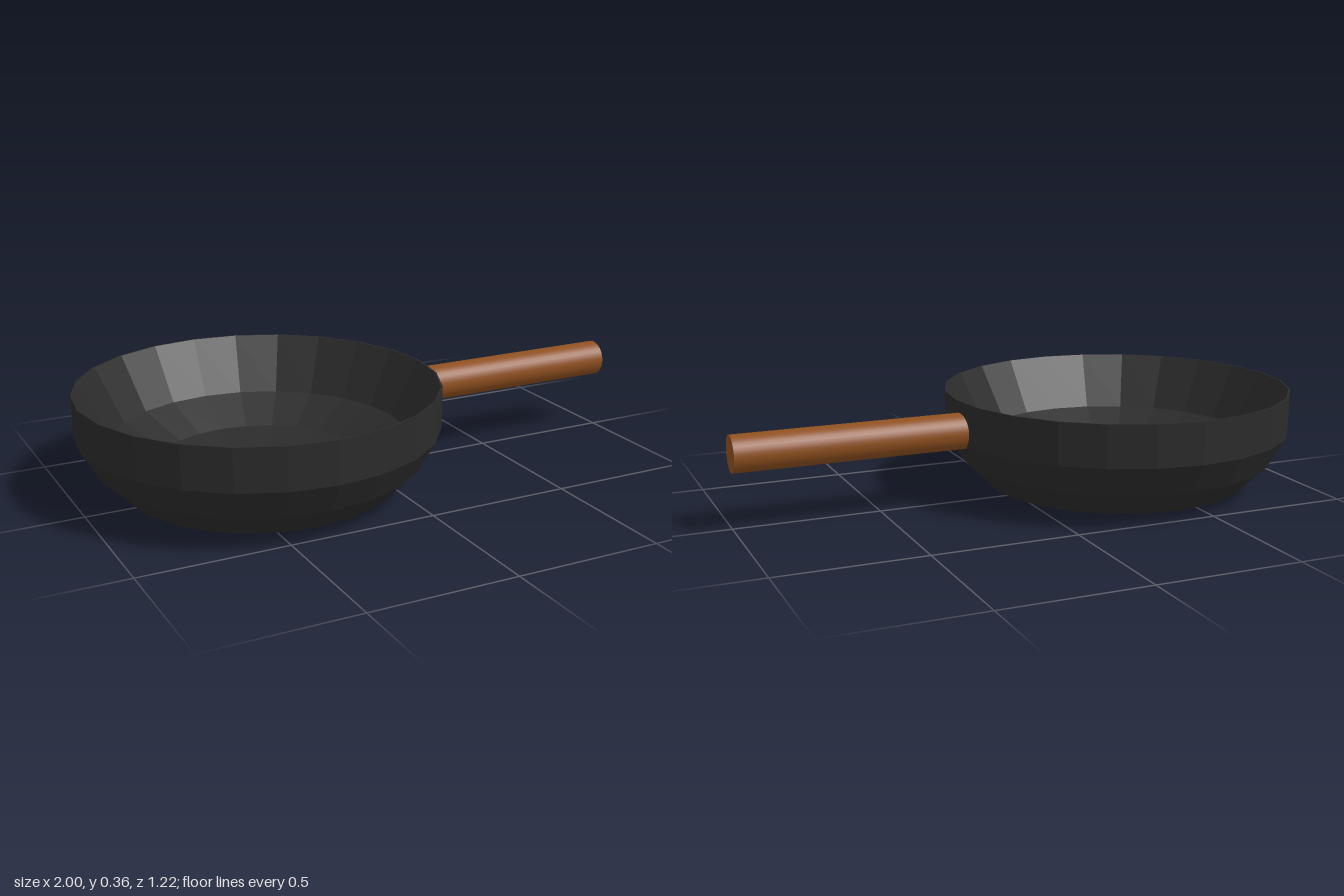
import * as THREE from 'three';

export function createModel() {
  const group = new THREE.Group();
  const iron = new THREE.MeshStandardMaterial({ color: 0x2b2b2b, flatShading: true });
  const wood = new THREE.MeshStandardMaterial({ color: 0x8f501f });

  // Pan: closed profile, from under the foot, up the outside and down the inside
  const profile = [
    [0, 0], [0.15, 0], [0.22, 0.02], [0.46, 0.022], [0.55, 0.11], [0.61, 0.215], [0.612, 0.36],
    [0.606, 0.36], [0.505, 0.17], [0.35, 0.09], [0.215, 0.06], [0, 0.05],
  ].map(([r, y]) => new THREE.Vector2(r, y));
  const pan = new THREE.Mesh(new THREE.LatheGeometry(profile, 24), iron);
  pan.name = 'pan';
  pan.position.x = -0.388;
  group.add(pan);

  // Round wooden handle, set slightly behind the centre line
  const start = 0.2, end = 1;
  const handle = new THREE.Mesh(new THREE.CylinderGeometry(0.0625, 0.0625, end - start, 32), wood);
  handle.name = 'handle';
  handle.rotation.z = -Math.PI / 2;
  handle.position.set((start + end) / 2, 0.257, -0.027);
  group.add(handle);

  return group;
}
